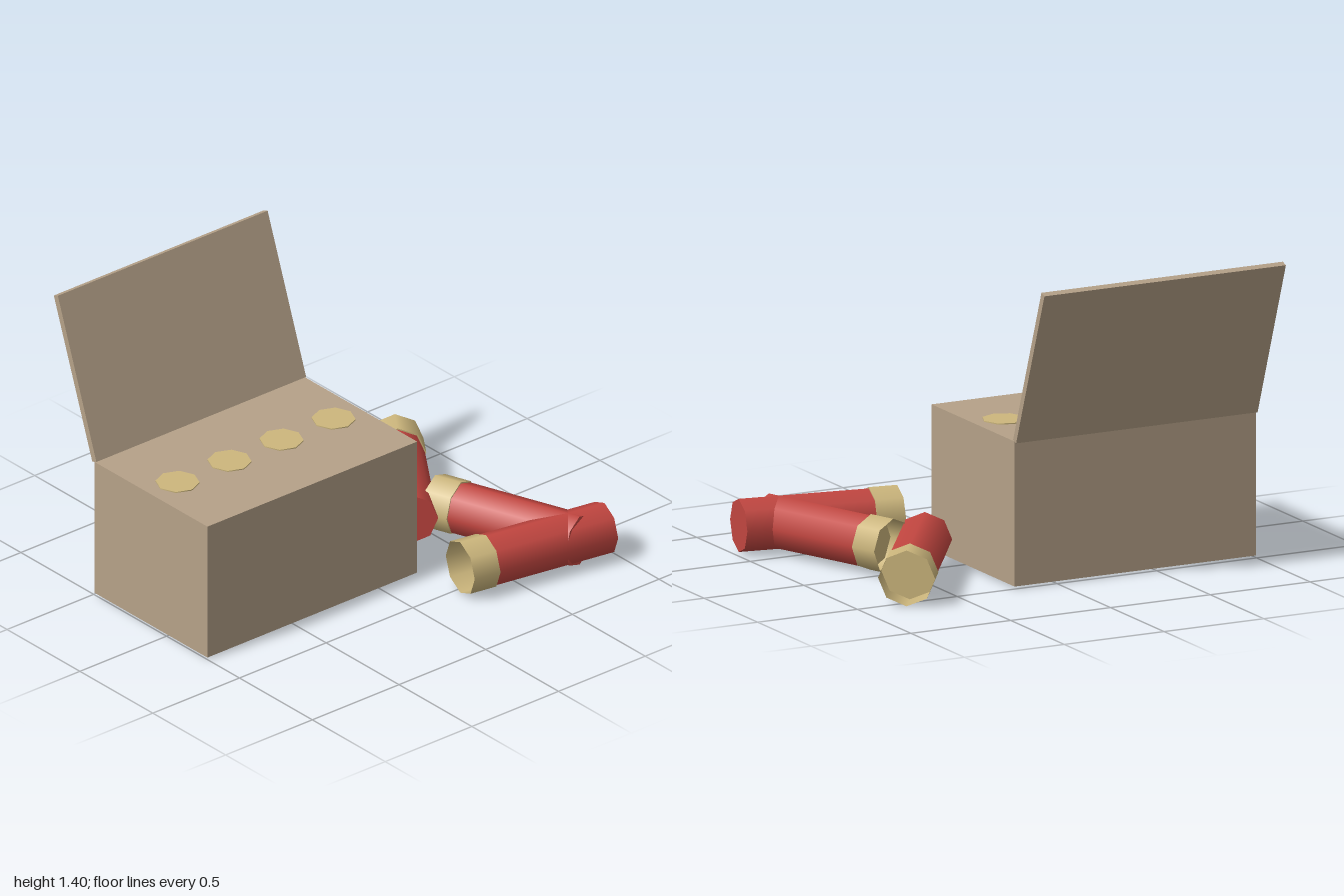
import * as THREE from 'three';

const cardboard = new THREE.MeshStandardMaterial({ color: 0xb5a188 });
cardboard.name = 'cardboard';
const red = new THREE.MeshStandardMaterial({ color: 0xc24640 });
red.name = 'shell red';
const brass = new THREE.MeshStandardMaterial({ color: 0xcdb77d, side: THREE.DoubleSide });
brass.name = 'brass';

const SIDES = 8;
const LENGTH = 0.737, CAP = 0.132, BODY_R = 0.121, CAP_R = 0.127;

function addMesh(parent, name, geometry, material, x = 0, y = 0, z = 0) {
  const mesh = new THREE.Mesh(geometry, material);
  mesh.name = name;
  mesh.position.set(x, y, z);
  parent.add(mesh);
  return mesh;
}

// One shell lying down, running from its closed red end to its open brass end
function makeShell(name, x0, z0, x1, z1) {
  const shell = new THREE.Group();
  shell.name = name;
  const bodyLength = LENGTH - CAP;
  const body = new THREE.CylinderGeometry(BODY_R, BODY_R, bodyLength, SIDES).rotateZ(-Math.PI / 2);
  addMesh(shell, 'shellBody', body, red, bodyLength / 2);
  const rim = new THREE.CylinderGeometry(CAP_R, CAP_R, CAP, SIDES, 1, true).rotateZ(-Math.PI / 2);
  addMesh(shell, 'brassRim', rim, brass, bodyLength + CAP / 2);
  // recessed floor of the brass cup
  const floor = new THREE.CircleGeometry(CAP_R, SIDES).rotateY(Math.PI / 2);
  addMesh(shell, 'brassFloor', floor, brass, bodyLength + 0.002);
  shell.position.set(x0, CAP_R, z0);
  shell.rotation.y = Math.atan2(z0 - z1, x1 - x0);
  return shell;
}

export function createModel() {
  const model = new THREE.Group();
  model.name = 'shellBox';

  // Box and its open lid, leaning back
  addMesh(model, 'box', new THREE.BoxGeometry(1.21, 0.66, 0.775), cardboard, -0.395, 0.34, -0.1075);
  const lid = addMesh(model, 'lid', new THREE.BoxGeometry(1.21, 0.773, 0.03), cardboard, -0.395, 1.033, -0.628);
  lid.rotation.x = -0.349;

  // Shell ends showing in the top of the box
  for (let i = 0; i < 4; i++) {
    addMesh(model, 'shellEnd' + (i + 1), new THREE.CylinderGeometry(0.098, 0.098, 0.006, SIDES),
      brass, -0.84 + i * 0.3, 0.672, -0.115);
  }

  // Loose shells beside the box
  model.add(makeShell('backShell', 0.365, 0.053, 0.783, -0.555));
  model.add(makeShell('middleShell', 0.811, 0.68, 0.5585, -0.014));
  model.add(makeShell('frontShell', 0.975, 0.655, 0.25, 0.53));
  return model;
}
